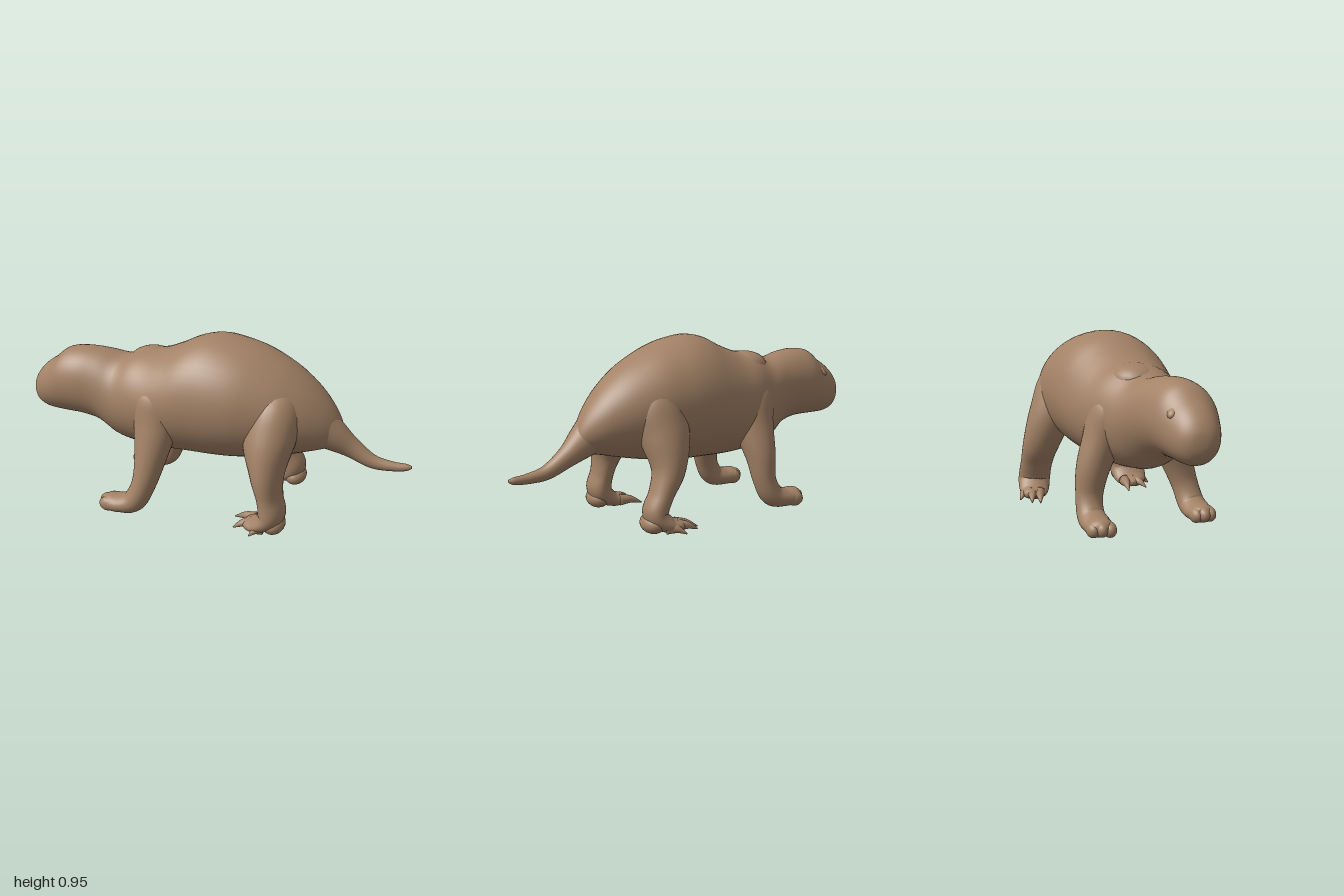
import * as THREE from 'three';

const fur = new THREE.MeshStandardMaterial({ color: 0xa38266 });
fur.name = 'brown fur';

// Smooth loft through rows [x, y, z, sideRadius, otherRadius]; fixedT keeps all rings parallel.
function loft(name, rows, side, { fixedT = null, steps = 6, sides = 28, floor = -1 } = {}) {
  const path = new THREE.CatmullRomCurve3(rows.map(r => new THREE.Vector3(r[0], r[1], r[2])), false, 'catmullrom');
  const size = new THREE.CatmullRomCurve3(rows.map(r => new THREE.Vector3(r[3], r[4], 0)), false, 'catmullrom');
  const n = (rows.length - 1) * steps;
  const pos = [], idx = [];
  const add = p => pos.push(p.x, Math.max(floor, p.y), p.z);
  for (let i = 0; i <= n; i++) {
    const t = i / n, c = path.getPoint(t), r = size.getPoint(t);
    const T = fixedT || path.getTangent(t);
    const S = side.clone().addScaledVector(T, -side.dot(T)).normalize();
    const N = T.clone().cross(S);
    for (let j = 0; j < sides; j++) {
      const a = j / sides * Math.PI * 2;
      add(c.clone().addScaledVector(S, r.x * Math.cos(a)).addScaledVector(N, r.y * Math.sin(a)));
    }
  }
  for (let i = 0; i < n; i++) for (let j = 0; j < sides; j++) {
    const k = (j + 1) % sides, a = i * sides + j, b = i * sides + k;
    idx.push(a, b, b + sides, a, b + sides, a + sides);
  }
  // Close both ends.
  const first = (n + 1) * sides, last = n * sides;
  add(path.getPoint(0));
  add(path.getPoint(1));
  for (let j = 0; j < sides; j++) {
    const k = (j + 1) % sides;
    idx.push(first, k, j, first + 1, last + j, last + k);
  }
  const g = new THREE.BufferGeometry();
  g.setAttribute('position', new THREE.Float32BufferAttribute(pos, 3));
  g.setIndex(idx);
  g.computeVertexNormals();
  const m = new THREE.Mesh(g, fur);
  m.name = name;
  return m;
}

function ellipsoid(name, p, s, yaw = 0, tilt = 0) {
  const m = new THREE.Mesh(new THREE.SphereGeometry(1, 24, 16), fur);
  m.name = name;
  m.position.set(...p);
  m.scale.set(...s);
  m.rotation.set(0, yaw, tilt);
  return m;
}

const Z = new THREE.Vector3(0, 0, 1);

function foreleg(name, leg, toes) {
  const g = new THREE.Group();
  g.name = name;
  g.add(loft('foreLimb', leg, Z, { floor: 0.015 }));
  toes.forEach(p => g.add(ellipsoid('foreToe', p, [0.05, 0.04, 0.034], 0.15)));
  return g;
}

function hindLeg(name, leg, heel, claws) {
  const g = new THREE.Group();
  g.name = name;
  g.add(loft('hindLimb', leg, Z, { floor: 0.008 }));
  g.add(ellipsoid('heel', heel, [0.06, 0.052, 0.085], 0.15));
  // Each claw is a tapering curve from the foot to its tip.
  claws.forEach(([from, to]) => {
    const mid = from.map((v, i) => (v + to[i]) / 2);
    g.add(loft('claw', [
      [...from, 0.032, 0.032],
      [mid[0], mid[1] + 0.01, mid[2], 0.02, 0.02],
      [...to, 0.003, 0.003],
    ], new THREE.Vector3(0.4, 0, 1), { sides: 10, floor: 0.004 }));
  });
  return g;
}

export function createModel() {
  const model = new THREE.Group();
  model.name = 'rodent';

  // Head and trunk outline: x, bottom, top, right edge, left edge.
  const outline = [
    [-1.0, 0.55, 0.59, 0.205, 0.245], [-0.992, 0.515, 0.63, 0.165, 0.275], [-0.965, 0.472, 0.675, 0.125, 0.31],
    [-0.92, 0.452, 0.72, 0.095, 0.33],
    [-0.87, 0.447, 0.755, 0.07, 0.342], [-0.8, 0.445, 0.81, 0.04, 0.35], [-0.7, 0.44, 0.825, 0.01, 0.34],
    [-0.6, 0.41, 0.815, -0.03, 0.315], [-0.5, 0.335, 0.795, -0.1, 0.305], [-0.4, 0.31, 0.832, -0.165, 0.315],
    [-0.3, 0.30, 0.845, -0.22, 0.32], [-0.2, 0.295, 0.885, -0.265, 0.317], [-0.1, 0.295, 0.935, -0.30, 0.31],
    [0, 0.295, 0.955, -0.325, 0.297], [0.1, 0.3, 0.943, -0.34, 0.28], [0.2, 0.31, 0.915, -0.35, 0.25],
    [0.3, 0.325, 0.87, -0.345, 0.20], [0.4, 0.345, 0.81, -0.33, 0.14], [0.5, 0.37, 0.725, -0.305, 0.06],
    [0.58, 0.39, 0.63, -0.27, -0.03], [0.63, 0.42, 0.54, -0.235, -0.11], [0.645, 0.45, 0.49, -0.19, -0.15],
  ];
  model.add(loft('headAndTrunk', outline.map(([x, y0, y1, z0, z1]) =>
    [x, (y0 + y1) / 2, (z0 + z1) / 2, (z1 - z0) / 2, (y1 - y0) / 2]),
  Z, { fixedT: new THREE.Vector3(1, 0, 0), sides: 48, steps: 4 }));

  // Tail
  model.add(loft('tail', [
    [0.48, 0.54, -0.13, 0.13, 0.12], [0.59, 0.46, -0.17, 0.09, 0.088], [0.69, 0.39, -0.205, 0.055, 0.055],
    [0.8, 0.325, -0.23, 0.037, 0.037], [0.9, 0.308, -0.257, 0.027, 0.026], [0.97, 0.308, -0.28, 0.019, 0.019],
    [1.0, 0.312, -0.288, 0.006, 0.007],
  ], Z));

  // Low brows over the eyes
  model.add(ellipsoid('leftBrow', [-0.86, 0.695, 0.27], [0.05, 0.025, 0.03], 0.7, 0.4));
  model.add(ellipsoid('rightBrow', [-0.855, 0.695, 0.125], [0.05, 0.025, 0.03], -0.7, 0.4));
  // Shoulder blade ridge
  model.add(ellipsoid('shoulderBlade', [-0.36, 0.765, 0.05], [0.13, 0.077, 0.12], 0.3));

  // Forelegs
  model.add(foreleg('leftForeleg', [
    [-0.27, 0.72, 0.14, 0.05, 0.05], [-0.255, 0.62, 0.185, 0.13, 0.14], [-0.237, 0.47, 0.245, 0.108, 0.117],
    [-0.238, 0.31, 0.303, 0.085, 0.083], [-0.255, 0.18, 0.345, 0.07, 0.064], [-0.3, 0.085, 0.37, 0.07, 0.062],
    [-0.37, 0.06, 0.385, 0.074, 0.05], [-0.44, 0.06, 0.4, 0.062, 0.046], [-0.475, 0.06, 0.405, 0.02, 0.02],
  ], [[-0.43, 0.057, 0.43], [-0.445, 0.06, 0.395], [-0.43, 0.055, 0.36]]));
  model.add(foreleg('rightForeleg', [
    [-0.34, 0.72, 0.0, 0.05, 0.05], [-0.34, 0.61, -0.05, 0.12, 0.14], [-0.355, 0.45, -0.115, 0.1, 0.11],
    [-0.375, 0.31, -0.165, 0.085, 0.082], [-0.39, 0.18, -0.185, 0.07, 0.062], [-0.435, 0.09, -0.185, 0.07, 0.062],
    [-0.51, 0.065, -0.17, 0.074, 0.05], [-0.58, 0.065, -0.155, 0.062, 0.046], [-0.615, 0.06, -0.15, 0.02, 0.02],
  ], [[-0.565, 0.057, -0.2], [-0.58, 0.062, -0.16], [-0.575, 0.057, -0.118]]));

  // Hind legs
  model.add(hindLeg('leftHindLeg', [
    [0.36, 0.75, -0.08, 0.05, 0.05], [0.36, 0.62, 0.015, 0.14, 0.13], [0.36, 0.47, 0.105, 0.135, 0.135],
    [0.385, 0.32, 0.165, 0.113, 0.085], [0.41, 0.2, 0.178, 0.1, 0.06], [0.425, 0.1, 0.185, 0.1, 0.066],
    [0.36, 0.045, 0.195, 0.09, 0.042], [0.3, 0.035, 0.2, 0.06, 0.03], [0.275, 0.03, 0.2, 0.015, 0.012],
  ], [0.437, 0.056, 0.18], [
    [[0.32, 0.04, 0.15], [0.195, 0.015, 0.15]],
    [[0.32, 0.04, 0.205], [0.24, 0.015, 0.26]],
    [[0.39, 0.038, 0.24], [0.35, 0.012, 0.295]],
  ]));
  model.add(hindLeg('rightHindLeg', [
    [0.24, 0.75, -0.12, 0.05, 0.05], [0.235, 0.62, -0.205, 0.145, 0.14], [0.205, 0.47, -0.29, 0.12, 0.13],
    [0.205, 0.32, -0.343, 0.1, 0.088], [0.25, 0.2, -0.365, 0.088, 0.062], [0.285, 0.1, -0.375, 0.088, 0.064],
    [0.22, 0.045, -0.385, 0.08, 0.042], [0.16, 0.035, -0.39, 0.055, 0.03], [0.14, 0.03, -0.39, 0.015, 0.012],
  ], [0.3, 0.056, -0.373], [
    [[0.18, 0.04, -0.36], [0.06, 0.015, -0.37]],
    [[0.18, 0.04, -0.4], [0.075, 0.015, -0.415]],
    [[0.24, 0.038, -0.425], [0.15, 0.012, -0.47]],
  ]));

  return model;
}
